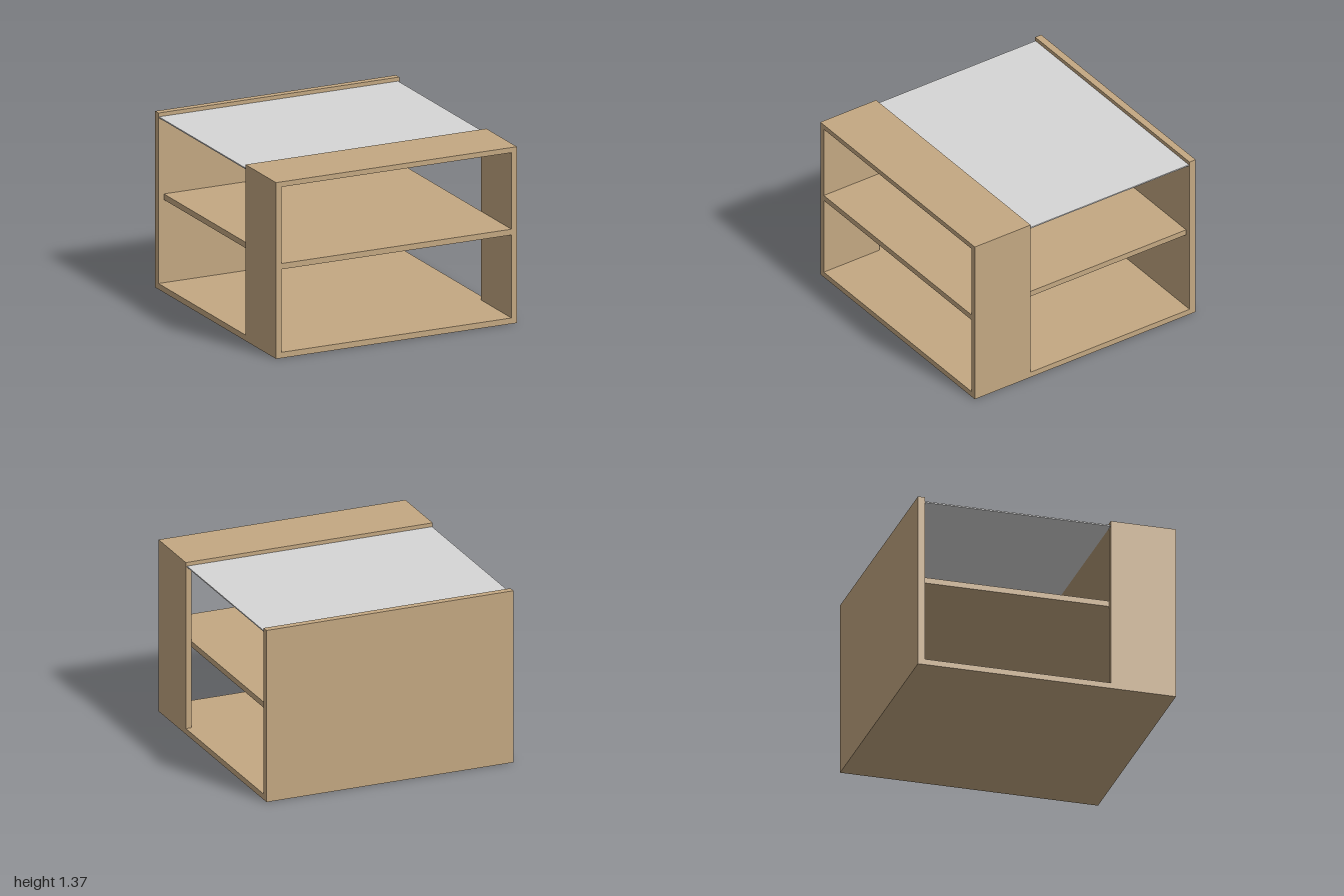
import * as THREE from 'three';

const wood = new THREE.MeshStandardMaterial({ color: 0xc4a882 });
wood.name = 'wood';
const glass = new THREE.MeshStandardMaterial({ color: 0xd6d6d6 });
glass.name = 'pale glass';

// Board given by its minimum and maximum corners
function board(name, material, [x0, y0, z0], [x1, y1, z1]) {
  const mesh = new THREE.Mesh(new THREE.BoxGeometry(x1 - x0, y1 - y0, z1 - z0), material);
  mesh.position.set((x0 + x1) / 2, (y0 + y1) / 2, (z0 + z1) / 2);
  mesh.name = name;
  return mesh;
}

export function createModel() {
  const group = new THREE.Group();
  group.name = 'coffeeTable';

  const H = 1.37;      // overall height
  const T = 0.045;     // board thickness
  const IN = 1 - T;    // inner face of the sides
  const BACK = -0.945; // inner face of the back panel
  const SIDE = 0.495;  // rear edge of the side panels

  // Full-width base and back
  group.add(board('basePanel', wood, [-1, 0, BACK], [1, T, 1]));
  group.add(board('backPanel', wood, [-1, 0, -1], [1, H, BACK]));

  // Short side panels at the front
  group.add(board('leftSide', wood, [IN, T, SIDE], [1, H, 1]));
  group.add(board('rightSide', wood, [-1, T, SIDE], [-IN, H, 1]));

  // Front top board between the sides
  group.add(board('topBoard', wood, [-IN, 1.33, SIDE], [IN, H, 1]));

  // Middle shelf, running from the front to the back panel
  group.add(board('middleShelf', wood, [-IN, 0.69, BACK], [IN, 0.735, 1]));

  // Thin glass sheet sunk slightly below the top
  group.add(board('glassTop', glass, [-0.995, 1.33, BACK], [0.99, 1.34, SIDE]));

  return group;
}
